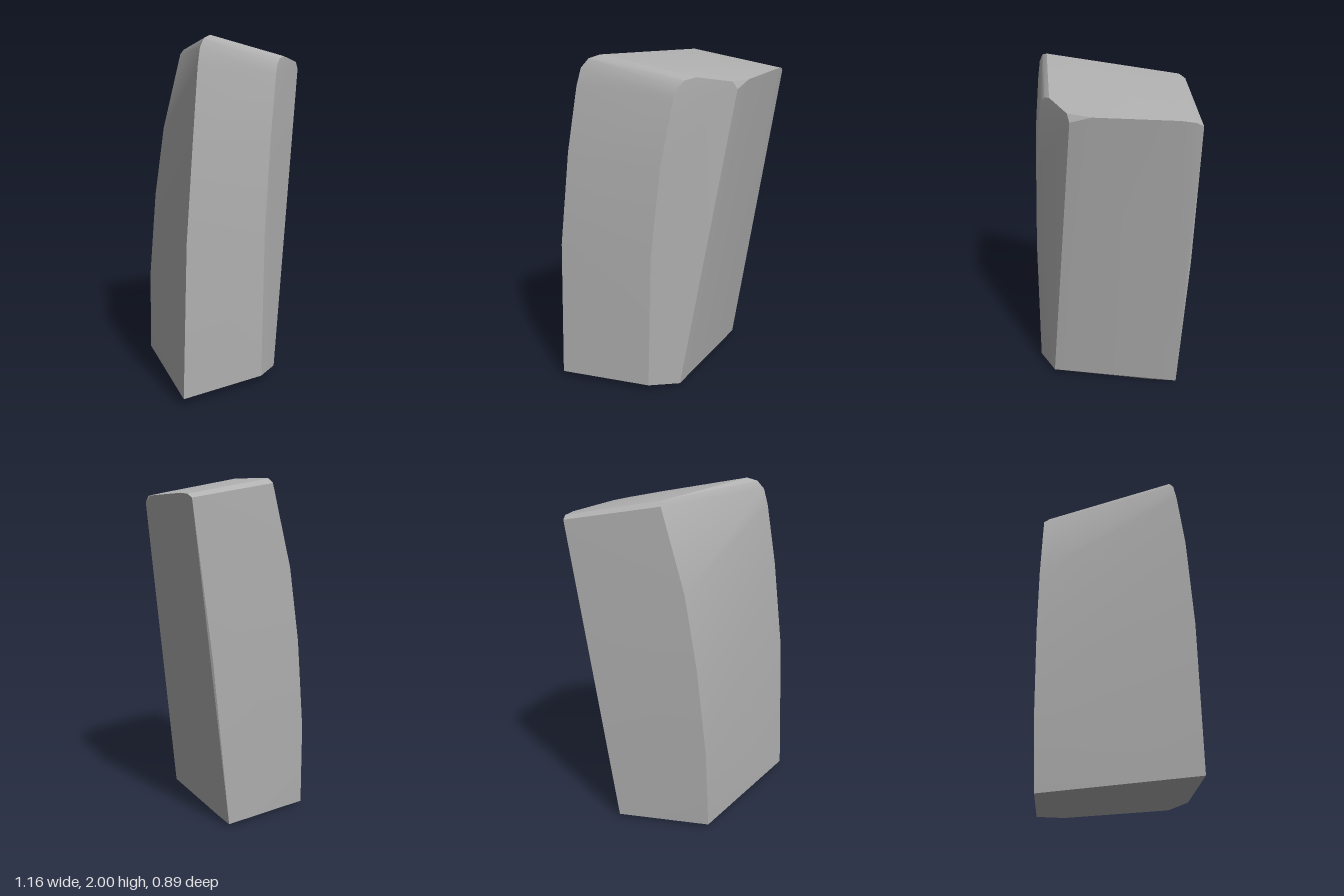
import * as THREE from 'three';
import { ConvexGeometry } from 'three/addons/geometries/ConvexGeometry.js';
import { toCreasedNormals } from 'three/addons/utils/BufferGeometryUtils.js';

export function createModel() {
  const group = new THREE.Group();
  const stone = new THREE.MeshStandardMaterial({ color: 0xb0b0b0 });
  stone.name = 'grey stone';

  // Bowed front edges, bottom to top: [left x, left y, right x, right y, z]
  const front = [
    [-0.58, 0.04, -0.02, 0.035, 0.445],
    [-0.55, 0.9, 0.0, 0.88, 0.44],
    [-0.49, 1.46, 0.055, 1.42, 0.42],
    [-0.435, 1.83, 0.12, 1.79, 0.388],
    [-0.41, 1.93, 0.14, 1.85, 0.375],
    [-0.37, 1.98, 0.175, 1.885, 0.357],
    [-0.31, 2.0, 0.23, 1.9, 0.332],
  ];

  // Remaining corners of the leaning block
  const corners = [
    // Bevelled front corner and its rounded tip
    [0.155, 0.03, 0.36], [0.435, 1.83, 0.235], [0.41, 1.872, 0.246], [0.475, 1.868, 0.12],
    // Bowed back edge
    [-0.24, 0.02, -0.415], [-0.225, 0.5, -0.435], [-0.17, 1.03, -0.445],
    [-0.1, 1.46, -0.445], [0.03, 1.93, -0.437],
    // Opposite back edge
    [0.32, 0.015, -0.415], [0.45, 0.98, -0.44], [0.578, 1.84, -0.437],
    // Rounded rear rim of the top
    [0.03, 1.957, -0.4], [0.58, 1.86, -0.4], [0.02, 1.964, -0.32], [0.565, 1.868, -0.32],
    // Slightly swollen underside
    [-0.44, 0.012, 0.3], [0.1, 0.012, 0.3], [-0.2, 0, -0.25], [0.27, 0, -0.25],
  ];

  const points = corners.map((p) => new THREE.Vector3(...p));
  for (const [lx, ly, rx, ry, z] of front) {
    points.push(new THREE.Vector3(lx, ly, z), new THREE.Vector3(rx, ry, z));
  }

  // Soft shading over the bowed faces, crisp main edges
  const block = new THREE.Mesh(toCreasedNormals(new ConvexGeometry(points), 0.35), stone);
  block.name = 'stoneBlock';
  group.add(block);
  return group;
}
